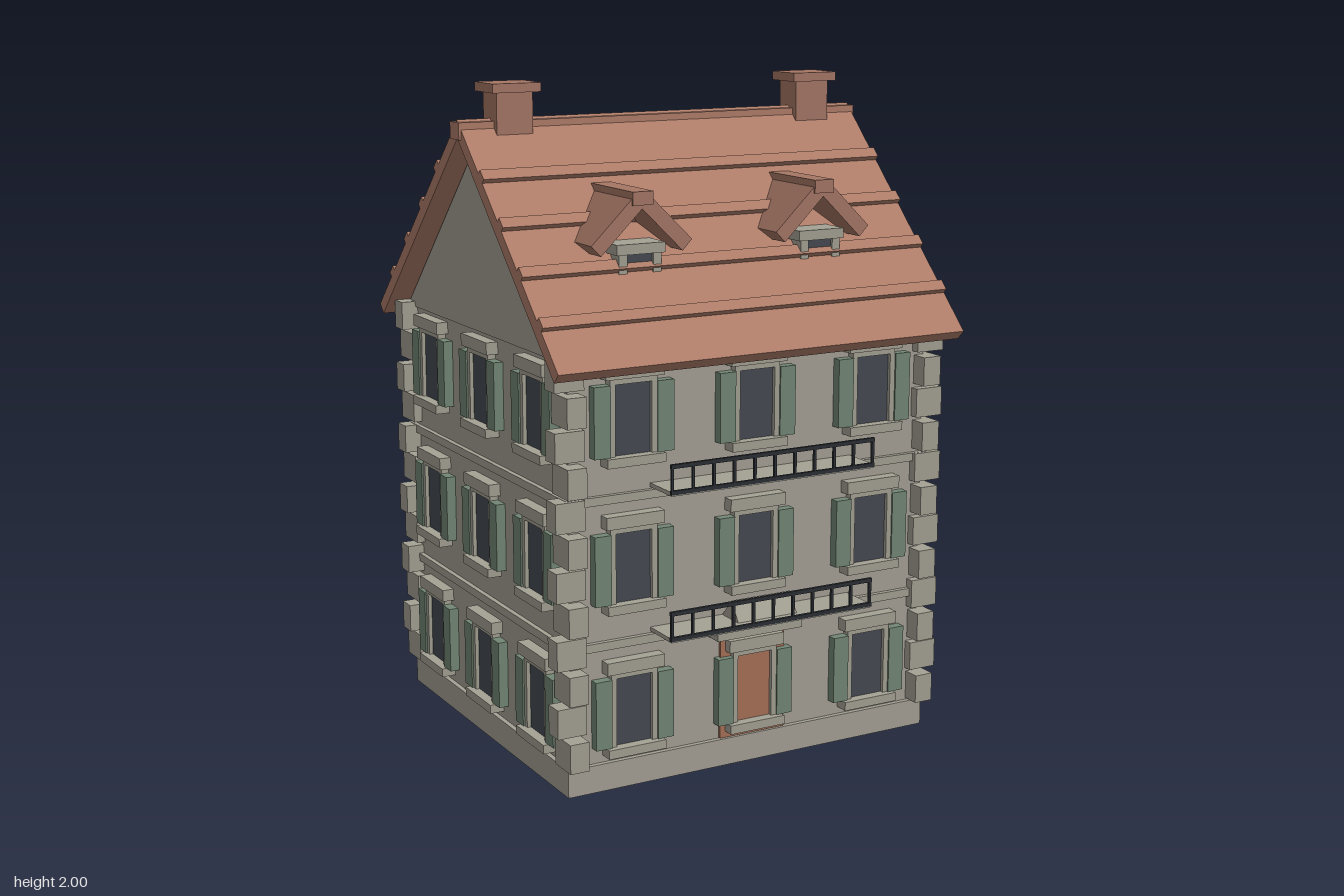
import * as THREE from 'three';

const mat = (name, color) => {
  const m = new THREE.MeshStandardMaterial({ color });
  m.name = name;
  return m;
};

export function createModel() {
  const wall = mat('wall stone', 0xa5a195);
  const trim = mat('trim stone', 0xa4a194);
  const roofMat = mat('roof tile', 0xb07e6a);
  const brick = mat('chimney brick', 0xa67765);
  const shutterMat = mat('shutter green', 0x738775);
  const glass = mat('window glass', 0x454b52);
  const iron = mat('railing iron', 0x2b2e33);
  const doorMat = mat('door wood', 0xa87058);

  const model = new THREE.Group();
  model.name = 'townHouse';
  const ZC = -0.014; // middle of the house; the balconies reach further forward

  const group = (parent, name) => {
    const g = new THREE.Group();
    g.name = name;
    parent.add(g);
    return g;
  };
  // box given by its limits on each axis
  const box = (parent, name, m, x0, x1, y0, y1, z0, z1) => {
    const b = new THREE.Mesh(new THREE.BoxGeometry(x1 - x0, y1 - y0, z1 - z0), m);
    b.position.set((x0 + x1) / 2, (y0 + y1) / 2, (z0 + z1) / 2);
    b.name = name;
    parent.add(b);
    return b;
  };
  // profile of [z, y] points extruded along x
  const prism = (parent, name, m, pts, halfX) => {
    const shape = new THREE.Shape(pts.map(([z, y]) => new THREE.Vector2(-z, y)));
    const geo = new THREE.ExtrudeGeometry(shape, { depth: 2 * halfX, bevelEnabled: false });
    geo.translate(0, 0, -halfX).rotateY(Math.PI / 2);
    const p = new THREE.Mesh(geo, m);
    p.name = name;
    parent.add(p);
    return p;
  };

  const house = group(model, 'house');
  house.position.z = ZC;

  // walls, plinth and floor bands
  box(house, 'plinth', wall, -0.615, 0.615, 0, 0.083, -0.565, 0.565);
  box(house, 'walls', wall, -0.6, 0.6, 0.083, 1.27, -0.55, 0.55);
  for (const y of [0.425, 0.855]) {
    box(house, 'floorBand', trim, -0.615, 0.615, y, y + 0.025, -0.565, 0.565);
  }
  prism(house, 'gable', wall, [[-0.575, 1.265], [0.575, 1.265], [0, 1.84]], 0.608);

  // corner stones, alternating long and short
  for (const sx of [-1, 1]) for (const sz of [-1, 1]) {
    const corner = group(house, 'cornerStones');
    for (let i = 0; i < 12; i++) {
      const long = i % 2 === 1;
      const w = long ? 0.092 : 0.06, d = long ? 0.06 : 0.1;
      const y = 0.088 + i * 0.1005;
      const cx = sx * ((long ? 0.653 : 0.627) - w / 2);
      const cz = sz * ((long ? 0.578 : 0.604) - d / 2);
      box(corner, 'cornerStone', trim, cx - w / 2, cx + w / 2, y, y + 0.088, cz - d / 2, cz + d / 2);
    }
  }

  // one shuttered opening, centred on x = 0, wall plane at z = 0
  const opening = (parent, x, y, isDoor) => {
    const g = group(parent, isDoor ? 'doorway' : 'window');
    g.position.set(x, y, 0);
    box(g, isDoor ? 'doorPanel' : 'glass', isDoor ? doorMat : glass, -0.06, 0.06, -0.105, 0.105, 0, 0.013);
    box(g, 'frameTop', trim, -0.075, 0.075, 0.103, 0.12, 0, 0.025);
    box(g, 'lintel', trim, -0.093, 0.093, 0.12, 0.157, 0, 0.037);
    box(g, 'sill', trim, -0.093, 0.093, -0.13, -0.103, 0, 0.045);
    for (const s of [-1, 1]) {
      const a = s * 0.0665, b = s * 0.101;
      box(g, 'frameSide', trim, a - 0.0085, a + 0.0085, -0.105, 0.105, 0, 0.025);
      box(g, 'shutter', shutterMat, b - 0.026, b + 0.026, -0.103, 0.103, 0, 0.03);
    }
  };

  // four facades with three rows of three openings
  const facades = [
    ['front', 0, 0.55, 0.405], ['leftSide', 1, 0.6, 0.371],
    ['back', 2, 0.55, 0.405], ['rightSide', 3, 0.6, 0.371],
  ];
  for (const [name, turn, dist, gap] of facades) {
    const side = group(house, name + 'Facade');
    side.rotation.y = turn * Math.PI / 2;
    const inner = group(side, name + 'Openings');
    inner.position.z = dist;
    for (let row = 0; row < 3; row++) for (let col = -1; col <= 1; col++) {
      opening(inner, col * gap, 0.235 + row * 0.43, turn === 0 && row === 0 && col === 0);
    }
  }

  // door surround with its hood
  const door = group(house, 'doorSurround');
  box(door, 'doorFrame', doorMat, -0.11, 0.11, 0.085, 0.395, 0.54, 0.56);
  box(door, 'doorLintel', trim, -0.145, 0.145, 0.405, 0.447, 0.54, 0.605);
  prism(door, 'doorHood', trim, [[0.55, 0.465], [0.645, 0.465], [0.605, 0.525], [0.55, 0.465]].slice(0, 3), 0.1);

  // balconies with iron railings
  for (const y of [0.455, 0.885]) {
    const bal = group(model, 'balcony');
    bal.position.y = y;
    box(bal, 'balconySlab', trim, -0.34, 0.34, 0, 0.012, 0.53, 0.662);
    box(bal, 'bottomRail', iron, -0.342, 0.342, 0.004, 0.016, 0.655, 0.665);
    box(bal, 'topRail', iron, -0.342, 0.342, 0.08, 0.092, 0.655, 0.665);
    for (let i = 0; i <= 10; i++) {
      const x = -0.337 + i * 0.0674;
      box(bal, 'baluster', iron, x - 0.004, x + 0.004, 0.01, 0.085, 0.656, 0.664);
    }
  }

  // main roof: two slopes with raised tile courses
  const roof = group(house, 'roof');
  const SLOPE = 0.98, APEX = 1.897, A = Math.atan(SLOPE);
  for (const s of [-1, 1]) {
    const pts = [[0, 1.843], [0.623, 1.233], [0.65, 1.26], [0, APEX]];
    prism(roof, 'roofSlope', roofMat, pts.map(([z, y]) => [s * z, y]), 0.675);
    for (const d of [0.158, 0.283, 0.408, 0.533]) {
      const course = box(roof, 'tileCourse', roofMat, -0.675, 0.675, -0.017, 0.017, -0.018, 0.018);
      course.position.set(0, APEX - SLOPE * d, s * d);
      course.rotation.x = s * A;
    }
  }
  box(roof, 'ridgeCap', roofMat, -0.682, 0.682, 1.84, 1.89, -0.036, 0.028);

  // chimneys
  for (const s of [-1, 1]) {
    const ch = group(house, 'chimney');
    ch.position.x = s * 0.512;
    box(ch, 'chimneyShaft', brick, -0.058, 0.058, 1.8, 1.977, -0.047, 0.047);
    box(ch, 'chimneyCap', brick, -0.077, 0.077, 1.973, 2, -0.064, 0.064);
  }

  // dormers on the front slope
  for (const s of [-1, 1]) {
    const dm = group(model, 'dormer');
    dm.position.x = s * 0.304;
    box(dm, 'dormerWall', wall, -0.064, 0.064, 1.42, 1.56, 0.24, 0.4);
    box(dm, 'dormerGlass', glass, -0.042, 0.042, 1.47, 1.535, 0.398, 0.405);
    box(dm, 'dormerLintel', trim, -0.078, 0.078, 1.535, 1.565, 0.3, 0.42);
    for (const k of [-1, 1]) {
      box(dm, 'dormerJamb', trim, k * 0.055 - 0.013, k * 0.055 + 0.013, 1.48, 1.537, 0.36, 0.414);
      const slab = box(dm, 'dormerSlope', brick, -0.1, 0.1, -0.022, 0.022, -0.14, 0.14);
      slab.position.set(k * 0.075, 1.622, 0.286);
      slab.rotation.z = -k * 0.77;
    }
    box(dm, 'dormerRidge', brick, -0.033, 0.033, 1.675, 1.714, 0.15, 0.432);
  }
  return model;
}
